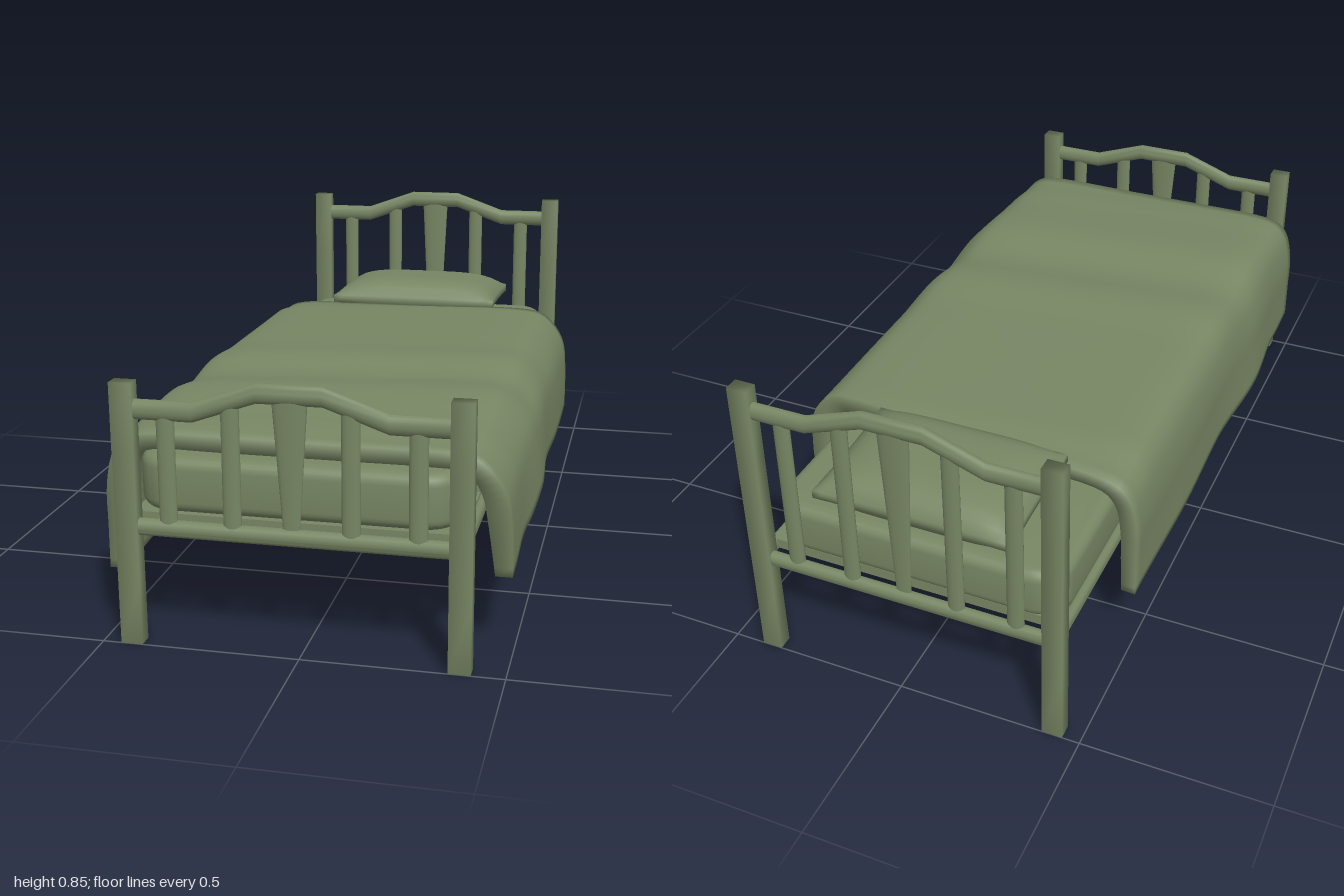
import * as THREE from 'three';
import { mergeVertices, toCreasedNormals } from 'three/addons/utils/BufferGeometryUtils.js';

const CX = -0.018; // centre line of the frame

// Eased lookup in [[key, value], ...] with rising keys
function lookup(keys, t) {
  if (t <= keys[0][0]) return keys[0][1];
  for (let i = 1; i < keys.length; i++) {
    const [k0, v0] = keys[i - 1], [k1, v1] = keys[i];
    if (t <= k1) return THREE.MathUtils.lerp(v0, v1, THREE.MathUtils.smoothstep(t, k0, k1));
  }
  return keys[keys.length - 1][1];
}

// Box whose corners share vertices, ready for soft shading
function weldedBox(...size) {
  const g = new THREE.BoxGeometry(...size);
  g.deleteAttribute('uv');
  g.deleteAttribute('normal');
  return mergeVertices(g);
}

// Skin closed rings of points; each end is capped by joining point j with its opposite
function loft(rings) {
  const n = rings[0].length, m = rings.length, pos = [], idx = [];
  rings.forEach(r => r.forEach(p => pos.push(p.x, p.y, p.z)));
  for (let i = 0; i < m - 1; i++) for (let j = 0; j < n; j++) {
    const a = i * n + j, b = i * n + (j + 1) % n;
    idx.push(a, b, a + n, b, b + n, a + n);
  }
  for (let j = 0; j < n / 2 - 1; j++) {
    const k = n - 1 - j, e = (m - 1) * n;
    idx.push(j, k, j + 1, j + 1, k, k - 1);
    idx.push(e + j, e + j + 1, e + k, e + j + 1, e + k - 1, e + k);
  }
  const g = new THREE.BufferGeometry();
  g.setAttribute('position', new THREE.Float32BufferAttribute(pos, 3));
  g.setIndex(idx);
  return g;
}

// Oval rail following a path of [x, y] points across the bed
function railGeometry(path, ry, rz) {
  return toCreasedNormals(loft(path.map(([x, y]) => Array.from({ length: 16 }, (_, j) => {
    const a = (j + 0.5) / 16 * Math.PI * 2;
    return new THREE.Vector3(x, y + Math.cos(a) * ry, Math.sin(a) * rz);
  }))), 0.6);
}

function postGeometry(height) {
  const g = weldedBox(0.055, height, 0.04, 1, 4, 1);
  g.computeVertexNormals();
  return g;
}

function mattressGeometry() {
  const b = 0.03, w = 0.4025 - b, d = 0.945 - b, r = 0.06, s = new THREE.Shape();
  s.absarc(w - r, d - r, r, 0, Math.PI / 2);
  s.absarc(-w + r, d - r, r, Math.PI / 2, Math.PI);
  s.absarc(-w + r, -d + r, r, Math.PI, Math.PI * 1.5);
  s.absarc(w - r, -d + r, r, Math.PI * 1.5, Math.PI * 2);
  const g = new THREE.ExtrudeGeometry(s, {
    depth: 0.142 - 2 * b, bevelThickness: b, bevelSize: b, bevelSegments: 5, curveSegments: 8,
  });
  g.rotateX(-Math.PI / 2).translate(-0.027, 0.325 + b, -0.005);
  return toCreasedNormals(g, 0.7);
}

function pillowGeometry() {
  const g = weldedBox(2, 2, 2, 24, 2, 18);
  const p = g.attributes.position;
  for (let i = 0; i < p.count; i++) {
    const u = p.getX(i), v = p.getZ(i);
    const puff = Math.max(0.18, Math.sqrt((1 - u ** 4) * (1 - v ** 4)));
    const pinchX = 1 - 0.02 * (1 - v * v), pinchZ = 1 - 0.02 * (1 - u * u);
    p.setXYZ(i, u * 0.27 * pinchX, p.getY(i) * 0.066 * puff, v * 0.183 * pinchZ);
  }
  g.computeVertexNormals();
  return g;
}

// Thick cover hanging over both long sides
function duvetGeometry() {
  const curve = pts => new THREE.SplineCurve(pts.map(p => new THREE.Vector2(...p))).getPoints(44);
  const outer = curve([[-0.505, 0.17], [-0.503, 0.28], [-0.5, 0.39], [-0.472, 0.485], [-0.4, 0.523],
    [-0.2, 0.53], [0.1, 0.53], [0.33, 0.53], [0.425, 0.51], [0.482, 0.43], [0.497, 0.32], [0.5, 0.17]]);
  const inner = curve([[-0.465, 0.17], [-0.46, 0.28], [-0.455, 0.37], [-0.435, 0.45], [-0.375, 0.485],
    [-0.2, 0.487], [0.1, 0.487], [0.3, 0.487], [0.385, 0.478], [0.425, 0.42], [0.442, 0.32], [0.458, 0.17]]);
  const section = [...inner, ...outer.reverse()];
  const topLift = [[-0.6, -0.005], [-0.5, 0.01], [0, 0.014], [0.18, 0.025], [0.35, 0.005],
    [0.53, 0.025], [0.8, 0.008], [0.93, -0.005]];
  const hemRight = [[-0.55, 0.22], [-0.2, 0.24], [0.2, 0.262], [0.45, 0.28], [0.65, 0.25], [0.9, 0.205]];
  const hemLeft = [[-0.6, 0.168], [-0.2, 0.172], [0.15, 0.19], [0.4, 0.187], [0.93, 0.168]];
  const sway = [[-0.6, -0.004], [-0.2, 0.004], [0.1, 0.002], [0.45, 0.021], [0.75, 0], [0.93, -0.004]];
  const rings = [], steps = 40;
  for (let i = 0; i <= steps; i++) {
    rings.push(section.map((p, j) => {
      const drop = THREE.MathUtils.clamp((0.485 - p.y) / 0.315, 0, 1);
      const head = THREE.MathUtils.lerp(-0.58, p.x < 0 ? -0.61 : -0.548, Math.min(1, Math.abs(p.x) / 0.5));
      const foot = 0.93 - (p.x > 0 ? 0.05 * drop : 0);
      const z = THREE.MathUtils.lerp(head, foot, i / steps);
      const hem = lookup(p.x > 0 ? hemRight : hemLeft, z);
      const lift = j >= inner.length ? lookup(topLift, z + p.x * 0.12) * (1 - drop) : 0;
      return new THREE.Vector3(p.x + Math.sign(p.x) * lookup(sway, z) * drop,
        p.y + (hem - 0.17) * drop + lift, z);
    }));
  }
  const g = loft(rings);
  g.computeVertexNormals();
  return g;
}

export function createModel() {
  const bed = new THREE.Group();
  bed.name = 'bed';
  const olive = new THREE.MeshStandardMaterial({ color: 0x788664 });
  olive.name = 'olive green';

  const add = (parent, name, geometry, x = 0, y = 0, z = 0) => {
    const mesh = new THREE.Mesh(geometry, olive);
    mesh.name = name;
    mesh.position.set(x, y, z);
    parent.add(mesh);
    return mesh;
  };

  // Headboard and footboard share one design at two heights
  const endBoard = (name, z, postHeight, railY) => {
    const board = new THREE.Group();
    board.name = name;
    board.position.set(CX, 0, z);
    bed.add(board);
    for (const s of [-1, 1]) {
      add(board, 'post', postGeometry(postHeight), s * 0.4075, postHeight / 2, 0);
    }
    const arch = [[-0.39, 0], [-0.237, 0], [-0.08, 0.056], [0.08, 0.056], [0.237, 0], [0.39, 0]];
    add(board, 'archedRail', railGeometry(arch.map(([x, y]) => [x, y + railY]), 0.025, 0.016));
    add(board, 'lowerRail', railGeometry([[-0.39, 0.304], [0.39, 0.304]], 0.022, 0.016));
    const spindle = (label, x, top, bottom, y1) => {
      const h = y1 - 0.31;
      const m = add(board, label, new THREE.CylinderGeometry(top, bottom, h, 16), x, 0.31 + h / 2, 0);
      m.scale.z = 0.012 / top;
    };
    for (const s of [-1, 1]) {
      spindle('spindle', s * 0.305, 0.023, 0.023, railY);
      spindle('spindle', s * 0.145, 0.023, 0.023, railY + 0.03);
    }
    spindle('centreSplat', 0, 0.044, 0.02, railY + 0.05);
  };
  endBoard('headboard', -0.98, 0.835, 0.77);
  endBoard('footboard', 0.98, 0.667, 0.6);

  // Side rails and the slats between them
  for (const s of [-1, 1]) {
    const rail = add(bed, 'sideRail', railGeometry([[-0.97, 0], [0.97, 0]], 0.022, 0.014), CX + s * 0.408, 0.304, 0);
    rail.rotation.y = Math.PI / 2;
  }
  for (let i = 0; i < 16; i++) {
    add(bed, 'slat', new THREE.BoxGeometry(0.8, 0.028, 0.065), CX, 0.31, -0.9 + i * 0.12);
  }

  // Bedding
  add(bed, 'mattress', mattressGeometry());
  const pillow = add(bed, 'pillow', pillowGeometry(), -0.025, 0.532, -0.763);
  pillow.rotation.x = -0.04;
  add(bed, 'duvet', duvetGeometry());
  return bed;
}
